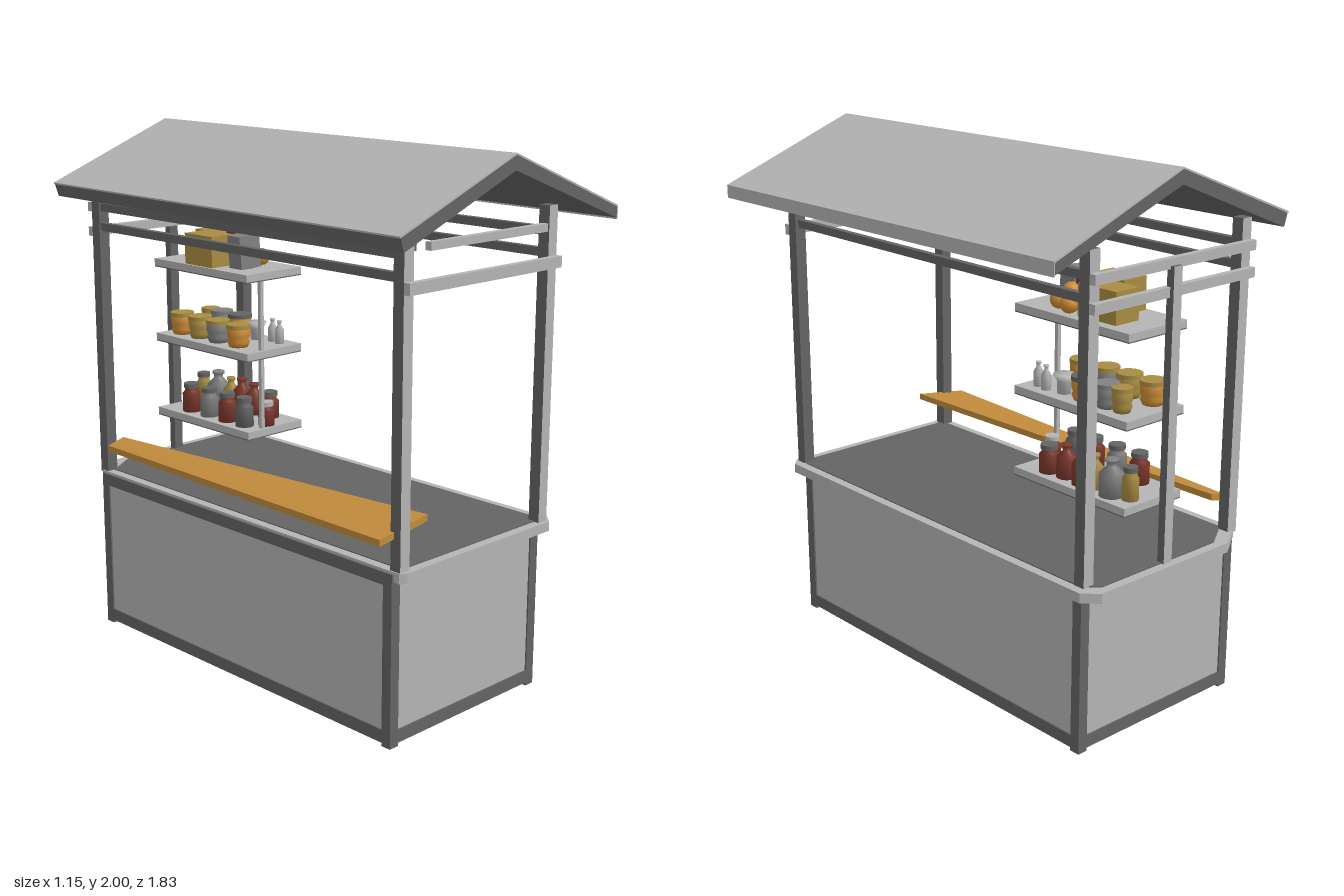
import * as THREE from 'three';

const mat = (name, color, side = THREE.FrontSide) => {
  const m = new THREE.MeshStandardMaterial({ color, side });
  m.name = name;
  return m;
};

export function createModel() {
  const light = mat('lightGrey', 0xb4b4b4, THREE.DoubleSide);
  const dark = mat('darkGrey', 0x646464);
  const wood = mat('wood', 0xc08a3c);
  const red = mat('redBrown', 0x7c382c);
  const mustard = mat('mustard', 0xa88c42);
  const orange = mat('orange', 0xcc8a34);
  const steel = mat('steel', 0x808080);

  const model = new THREE.Group();
  model.name = 'marketStall';
  const stall = new THREE.Group();
  stall.name = 'stall';
  stall.rotation.y = 0.025; // whole stall stands slightly askew
  model.add(stall);

  const add = (name, geo, material, x = 0, y = 0, z = 0, parent = stall) => {
    const m = new THREE.Mesh(geo, material);
    m.name = name;
    m.position.set(x, y, z);
    parent.add(m);
    return m;
  };
  // box given by its min and max corners
  const box = (name, material, x0, x1, y0, y1, z0, z1, parent) =>
    add(name, new THREE.BoxGeometry(x1 - x0, y1 - y0, z1 - z0), material,
      (x0 + x1) / 2, (y0 + y1) / 2, (z0 + z1) / 2, parent);
  const poly = (pts) => new THREE.Shape(pts.map(([x, y]) => new THREE.Vector2(x, y)));

  // ---- hollow base: panels inside a dark frame
  const X0 = -0.433, X1 = 0.337, Z0 = -0.81, Z1 = 0.775, F = 0.04;
  for (const [i, z] of [Z0, Z1 - F].entries()) {
    const end = i ? 'front' : 'back';
    box(end + 'Panel', light, X0 + 0.02, X1 - 0.02, 0.03, 0.61, z + (i ? 0.026 : 0.006), z + (i ? 0.034 : 0.014));
    box(end + 'BottomRail', dark, X0, X1, 0.012, 0.06, z, z + F);
    box(end + 'TopRail', dark, X0, X1, 0.585, 0.615, z, z + F);
    for (const x of [X0, X1 - F]) box(end + 'BaseLeg', dark, x, x + F, 0, 0.62, z, z + F);
  }
  for (const [i, x] of [X0, X1 - F].entries()) {
    const side = i ? 'left' : 'right';
    box(side + 'Panel', light, x + (i ? 0.026 : 0.006), x + (i ? 0.034 : 0.014), 0.03, 0.61, Z0 + 0.02, Z1 - 0.02);
    box(side + 'BottomRail', dark, x, x + F, 0.012, 0.06, Z0, Z1);
    box(side + 'TopRail', dark, x, x + F, 0.585, 0.63, Z0, Z1);
  }

  // ---- counter: light rounded rim with a dark top, flush on the right side
  const counter = (s) => poly([
    [-0.425 + s, 0.80 - s], [-0.40 + s, 0.815 - s], [0.35 - s, 0.815 - s], [0.385 - s, 0.78 - s],
    [0.385 - s, -0.85 + s], [0.33 - s, -0.9 + s], [-0.3 + s, -0.9 + s], [-0.425 + s, -0.82 + s],
  ].map(([x, z]) => [x, -z]));
  const slab = (shape, h) => new THREE.ExtrudeGeometry(shape, { depth: h, bevelEnabled: false }).rotateX(-Math.PI / 2);
  add('counterRim', slab(counter(0), 0.036), light, 0, 0.602, 0);
  add('counterTop', slab(counter(0.035), 0.005), dark, 0, 0.6365, 0);

  // ---- corner posts, pale on the face turned outward along z
  const postFaces = [
    [dark, dark, dark, dark, light, dark],
    [dark, dark, dark, dark, dark, light],
  ];
  for (const x of [-0.4, 0.327]) {
    box('frontPost', postFaces[0], x - 0.02, x + 0.025, 0.63, 1.78, 0.755, 0.8);
    box('backPost', postFaces[1], x - 0.02, x + 0.025, 0.63, 1.78, -0.835, -0.79);
    for (const y of [1.615, 1.69]) box('sideRail', dark, x - 0.012, x + 0.012, y - 0.015, y + 0.015, -0.8, 0.77);
  }
  box('backMiddlePost', postFaces[1], -0.033, 0.007, 0.63, 1.68, -0.875, -0.845);

  // ---- cross rails at both ends
  box('frontLowerRail', light, -0.42, 0.352, 1.565, 1.605, 0.8, 0.825);
  box('frontUpperRail', light, -0.29, 0.31, 1.69, 1.718, 0.77, 0.795);
  box('backLowerRail', light, -0.42, 0.352, 1.575, 1.61, -0.86, -0.835);
  box('backUpperRail', light, -0.42, 0.352, 1.67, 1.705, -0.86, -0.835);
  box('railStub', dark, -0.42, -0.32, 1.69, 1.712, 0.73, 0.76);
  box('roofBrace', dark, 0.12, 0.142, 1.72, 1.79, -0.4, -0.37).rotation.z = -0.15;

  // ---- gabled roof: dark body under a thin pale cover
  const roof = new THREE.Group();
  roof.name = 'roof';
  roof.rotation.x = 0.007;
  stall.add(roof);
  const gable = (pts, depth) => new THREE.ExtrudeGeometry(poly(pts), { depth, bevelEnabled: false }).translate(0, 0, -depth / 2);
  add('roofBody', gable([[-0.552, 1.775], [-0.537, 1.73], [-0.015, 1.938], [0.548, 1.732], [0.547, 1.77], [-0.015, 1.987]], 1.788),
    dark, 0, 0, 0, roof);
  add('roofCover', gable([[-0.555, 1.776], [-0.015, 1.988], [0.546, 1.771], [0.546, 1.727], [0.551, 1.727],
    [0.551, 1.776], [-0.015, 1.994], [-0.557, 1.782]], 1.79), light, 0, 0, 0, roof);

  // ---- tapered hinged plank along the right side: cross-sections joined by a rule
  const plank = new THREE.BoxGeometry(1, 0.024, 1.54);
  const pp = plank.attributes.position;
  for (let i = 0; i < pp.count; i++) {
    const front = pp.getZ(i) > 0;
    const u = pp.getX(i) + 0.5;
    pp.setX(i, front ? -0.488 + u * 0.23 : -0.43 + u * 0.075);
    pp.setY(i, pp.getY(i) + (front ? 0.752 + u * 0.034 : 0.738 + u * 0.02));
  }
  plank.computeVertexNormals();
  add('plank', plank, wood);

  // ---- hanging shelves
  for (const y of [0.82, 1.128, 1.43]) {
    box('shelf', light, -0.15, 0.13, y + 0.004, y + 0.032, -0.8, -0.25);
    box('shelfUnderside', dark, -0.15, 0.13, y, y + 0.004, -0.8, -0.25);
  }
  box('shelfRod', light, -0.072, -0.056, 0.84, 1.44, -0.275, -0.26);

  // ---- goods on the shelves
  const turned = (name, material, x, y, z, pts) =>
    add(name, new THREE.LatheGeometry(pts.map(([r, h]) => new THREE.Vector2(r, h)), 14), material, x, y, z);
  const jar = (x, y, z, r, h, m, lid) => {
    turned('jar', m, x, y, z, [[0, 0], [r, 0], [r, h * 0.75], [r * 0.75, h * 0.85], [r * 0.75, h]]);
    add('jarLid', new THREE.CylinderGeometry(r * 0.85, r * 0.85, 0.018, 14), lid, x, y + h + 0.006, z);
  };
  const bottle = (x, y, z, r, h, m) => turned('bottle', m, x, y, z,
    [[0, 0], [r, 0], [r, h * 0.6], [r * 0.4, h * 0.8], [r * 0.4, h * 0.92], [r * 0.55, h * 0.92], [r * 0.55, h], [0, h]]);
  const pot = (x, y, z, r, m, lid) => {
    turned('pot', m, x, y, z, [[0, 0], [r * 0.8, 0], [r, 0.02], [r * 0.85, 0.03], [r, 0.04], [r, 0.07], [r * 0.8, 0.075]]);
    add('potLid', new THREE.CylinderGeometry(r * 1.05, r * 1.05, 0.016, 14), lid, x, y + 0.08, z);
  };

  const y1 = 0.852, y2 = 1.16, y3 = 1.462;
  jar(-0.02, y1, -0.29, 0.032, 0.08, red, light);
  jar(0.07, y1, -0.37, 0.037, 0.09, red, dark);
  bottle(0.06, y1, -0.45, 0.038, 0.125, red);
  bottle(0.07, y1, -0.535, 0.036, 0.13, red);
  bottle(0.06, y1, -0.59, 0.032, 0.125, mustard);
  bottle(0.07, y1, -0.68, 0.045, 0.135, steel);
  jar(0.05, y1, -0.75, 0.03, 0.105, mustard, dark);
  for (const [z, m] of [[-0.34, dark], [-0.44, red], [-0.55, steel], [-0.66, red]]) jar(-0.09, y1, z, 0.036, 0.1, m, dark);

  bottle(0.07, y2, -0.31, 0.018, 0.09, light);
  bottle(0.08, y2, -0.36, 0.018, 0.09, light);
  turned('cup', light, 0.06, y2, -0.43, [[0, 0], [0.025, 0], [0.025, 0.045], [0.04, 0.07], [0, 0.065]]);
  pot(0.06, y2, -0.53, 0.045, orange, dark);
  pot(0.06, y2, -0.64, 0.043, steel, steel);
  pot(0.06, y2, -0.71, 0.036, mustard, mustard);
  for (const [z, m] of [[-0.38, orange], [-0.5, steel], [-0.61, mustard], [-0.72, orange]]) pot(-0.08, y2, z, 0.045, m, mustard);

  box('tallBox', steel, -0.09, 0.01, y3, y3 + 0.13, -0.42, -0.35).rotation.z = 0.08;
  box('carton', mustard, -0.02, 0.09, y3, y3 + 0.115, -0.7, -0.52);
  box('backCarton', mustard, -0.14, -0.03, y3, y3 + 0.12, -0.62, -0.46);
  box('redBox', red, -0.02, 0.04, y3, y3 + 0.13, -0.51, -0.46);
  for (const [x, h, z] of [[0.06, 0.03, -0.4], [0.05, 0.065, -0.45], [0.08, 0.03, -0.47]])
    add('fruit', new THREE.SphereGeometry(0.034, 12, 8), orange, x, y3 + h, z);

  return model;
}
